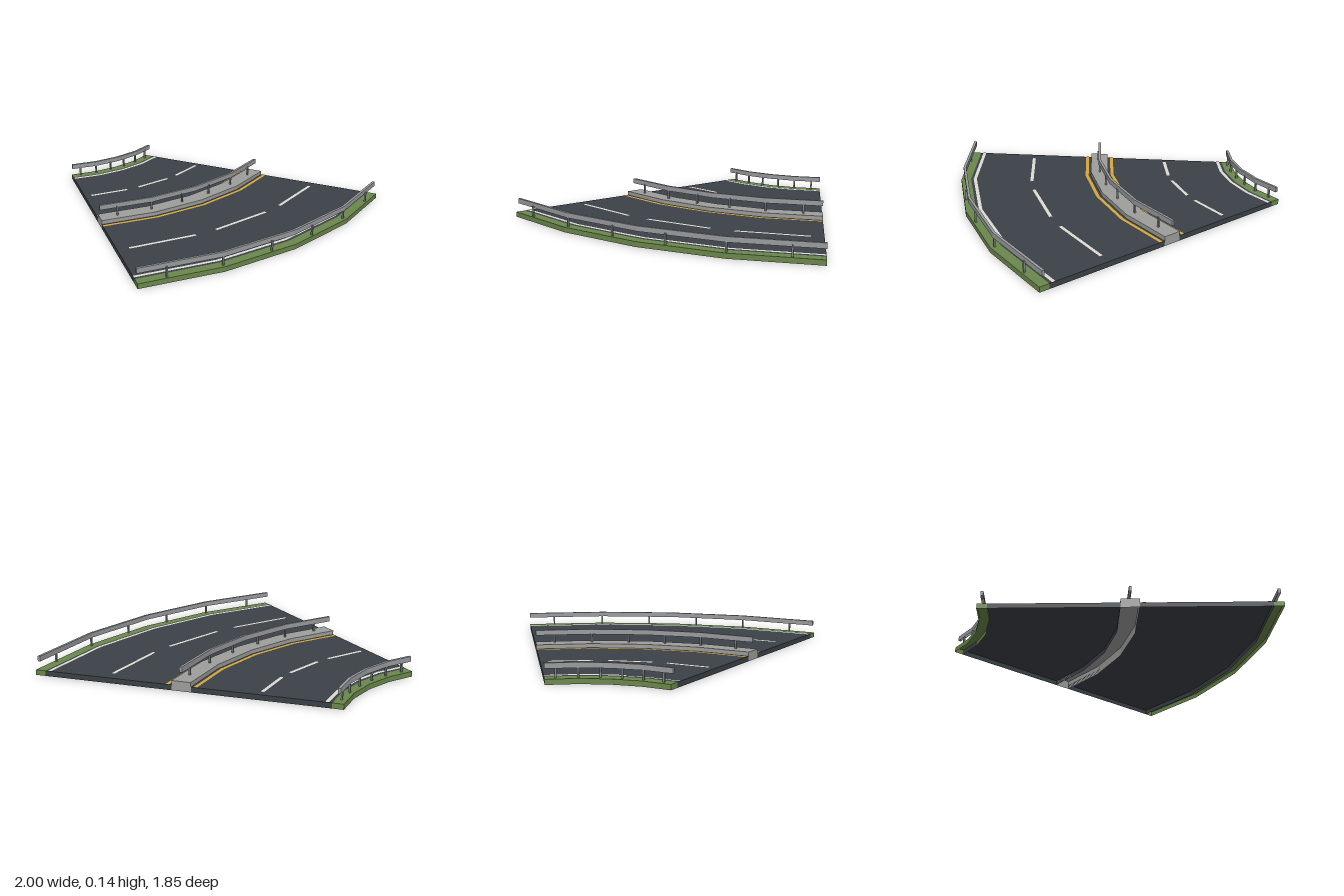
import * as THREE from 'three';

// Bend centre and sweep
const CX = -1.615, CZ = -0.925, SWEEP = 45;
const rad = THREE.MathUtils.degToRad;

function material(name, color) {
  const m = new THREE.MeshStandardMaterial({ color, side: THREE.DoubleSide });
  m.name = name;
  return m;
}

export function createModel() {
  const asphalt = material('asphalt', 0x3b4147);
  const grass = material('grass', 0x6b874c);
  const concrete = material('concrete', 0x9e9f9d);
  const white = material('white paint', 0xdcdbd4);
  const yellow = material('yellow paint', 0xd4a73a);
  const steel = material('rail steel', 0x999c9f);
  const postSteel = material('post steel', 0x85888b);

  const model = new THREE.Group();
  model.name = 'curvedRoad';

  const arcPoint = (r, degrees, y) =>
    [CX + r * Math.cos(rad(degrees)), y, CZ + r * Math.sin(rad(degrees))];

  // Faceted curved strip: a top surface, plus side and end walls
  // (open underneath) when it has height
  function arcStrip(name, mat, r0, r1, y0, y1, a0 = 0, a1 = SWEEP, segments = 4) {
    const positions = [];
    const quad = (a, b, c, d) => positions.push(...a, ...b, ...c, ...a, ...c, ...d);
    const section = (a) => [
      arcPoint(r0, a, y0), arcPoint(r0, a, y1), arcPoint(r1, a, y1), arcPoint(r1, a, y0),
    ];
    const step = (a1 - a0) / segments;
    for (let i = 0; i < segments; i++) {
      const p = section(a0 + step * i), q = section(a0 + step * (i + 1));
      quad(p[1], q[1], q[2], p[2]);
      if (y1 > y0) {
        quad(p[0], q[0], q[1], p[1]);
        quad(p[2], q[2], q[3], p[3]);
      }
    }
    if (y1 > y0) {
      const s = section(a0), e = section(a1);
      quad(s[0], s[1], s[2], s[3]);
      quad(e[3], e[2], e[1], e[0]);
    }
    const geo = new THREE.BufferGeometry();
    geo.setAttribute('position', new THREE.Float32BufferAttribute(positions, 3));
    geo.computeVertexNormals();
    const mesh = new THREE.Mesh(geo, mat);
    mesh.name = name;
    model.add(mesh);
  }

  // Guard rail: one beam carried by six posts
  function guardRail(name, r, base, beamLow, beamHigh) {
    arcStrip(name + 'Beam', steel, r - 0.008, r + 0.008, beamLow, beamHigh);
    const h = beamLow + 0.01 - base;
    const geo = new THREE.BoxGeometry(0.01, h, 0.01);
    for (let i = 0; i < 6; i++) {
      const a = 3.75 + 7.5 * i;
      const post = new THREE.Mesh(geo, postSteel);
      post.name = name + 'Post';
      post.position.set(...arcPoint(r, a, base + h / 2));
      post.rotation.y = -rad(a);
      model.add(post);
    }
  }

  // Ground strips, inside of the bend to outside
  const TOP = 0.03;
  arcStrip('innerVerge', grass, 0.865, 0.925, 0, TOP);
  arcStrip('innerCarriageway', asphalt, 0.925, 1.685, 0, TOP);
  arcStrip('median', concrete, 1.685, 1.795, 0, 0.055);
  arcStrip('outerCarriageway', asphalt, 1.795, 2.555, 0, TOP);
  arcStrip('outerVerge', grass, 2.555, 2.615, 0, TOP);

  // Painted edge lines
  const PAINT = TOP + 0.0015;
  for (const [r, mat, name] of [
    [0.951, white, 'innerEdgeLine'], [1.66, yellow, 'innerMedianLine'],
    [1.82, yellow, 'outerMedianLine'], [2.529, white, 'outerEdgeLine'],
  ]) arcStrip(name, mat, r - 0.01, r + 0.01, PAINT, PAINT);

  // Straight lane dashes, three per carriageway
  for (const r of [1.305, 2.175])
    for (let i = 0; i < 3; i++) {
      const mid = 7.5 + 15 * i;
      arcStrip('laneDash', white, r - 0.01, r + 0.01, PAINT, PAINT, mid - 5.6, mid + 5.6, 1);
    }

  guardRail('innerRail', 0.89, TOP, 0.082, 0.112);
  guardRail('medianRail', 1.74, 0.055, 0.105, 0.136);
  guardRail('outerRail', 2.59, TOP, 0.082, 0.112);

  return model;
}
